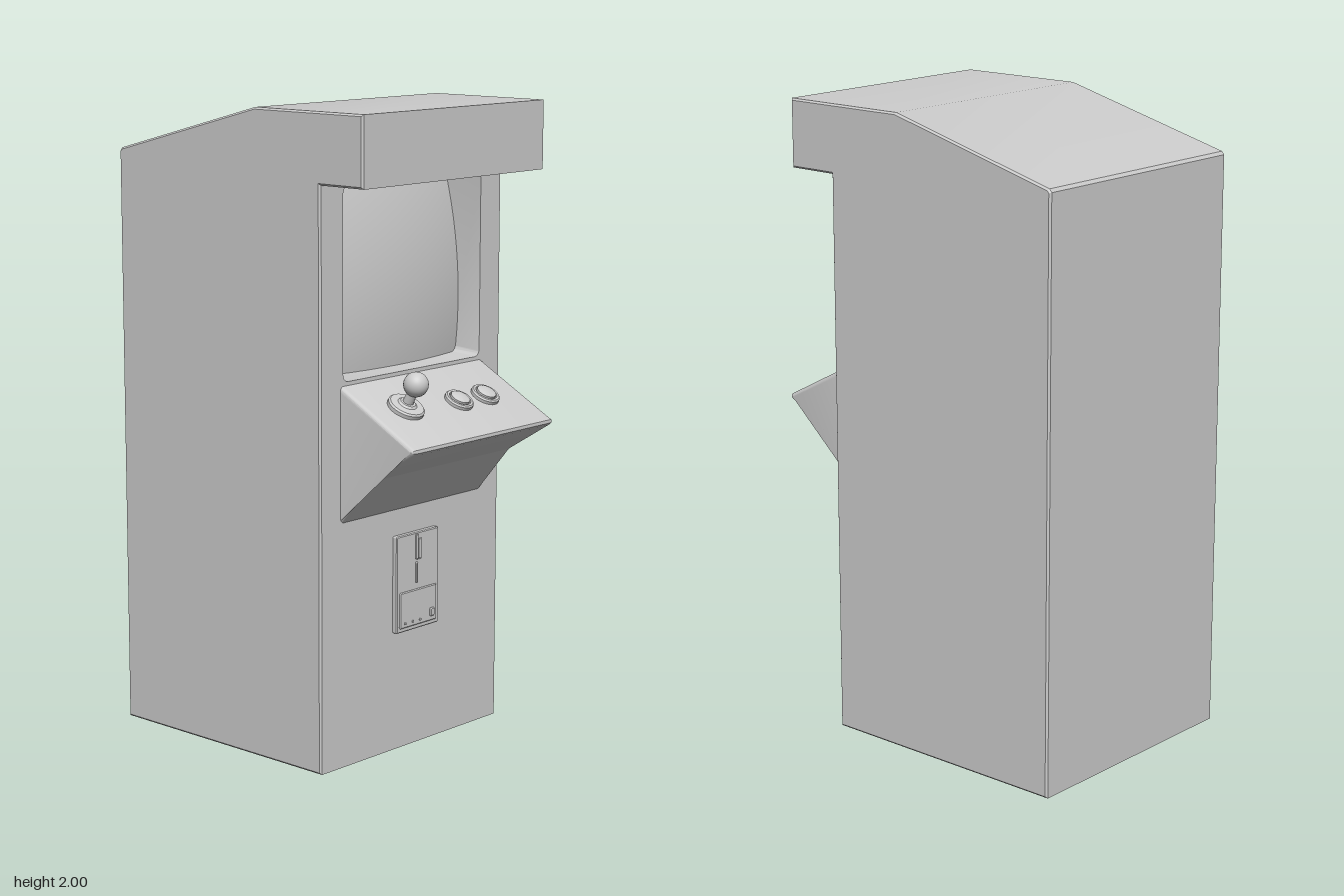
import * as THREE from 'three';
import { mergeGeometries, toCreasedNormals } from 'three/addons/utils/BufferGeometryUtils.js';

const grey = new THREE.MeshStandardMaterial({ color: 0xcccccc });
const greyDouble = new THREE.MeshStandardMaterial({ color: 0xcccccc, side: THREE.DoubleSide });
const FRONT = 0.285;

function add(parent, name, geometry, x = 0, y = 0, z = 0, material = grey) {
  const mesh = new THREE.Mesh(geometry, material);
  mesh.name = name;
  mesh.position.set(x, y, z);
  parent.add(mesh);
  return mesh;
}

// Side profile of [z, y] points, extruded across x with bevelled side edges
function sideExtrude(points, width, bevel, segments) {
  const shape = new THREE.Shape(points.map(([z, y]) => new THREE.Vector2(z, y)));
  const depth = width - 2 * bevel;
  return new THREE.ExtrudeGeometry(shape, {
    depth, bevelSize: bevel, bevelThickness: bevel, bevelOffset: -bevel, bevelSegments: segments,
  }).rotateY(-Math.PI / 2).translate(depth / 2, 0, 0);
}

function roundedRect(x0, y0, x1, y1, r) {
  const s = new THREE.Shape();
  s.absarc(x1 - r, y0 + r, r, -Math.PI / 2, 0);
  s.absarc(x1 - r, y1 - r, r, 0, Math.PI / 2);
  s.absarc(x0 + r, y1 - r, r, Math.PI / 2, Math.PI);
  s.absarc(x0 + r, y0 + r, r, Math.PI, Math.PI * 1.5);
  s.closePath();
  return s;
}

// Flat plate on the front face with a small bevel
function plate(x0, y0, x1, y1, thickness) {
  const b = 0.003;
  return new THREE.ExtrudeGeometry(roundedRect(x0, y0, x1, y1, 0.005), {
    depth: thickness - b, bevelSize: b, bevelThickness: b, bevelOffset: -b, bevelSegments: 1, curveSegments: 3,
  });
}

function lathe(points, segments = 32) {
  const geometry = new THREE.LatheGeometry(points.map(([r, y]) => new THREE.Vector2(r, y)), segments);
  return toCreasedNormals(geometry, 0.6);
}

function createCabinet(hole) {
  const width = 0.828, bevel = 0.006, lip = 1.787;
  const profile = [[FRONT, 0], [FRONT, lip], [0.453, lip], [0.453, 2], [0.02, 2],
    [-0.564, 1.846], [-0.572, 1.836], [-0.572, 0]];
  const body = sideExtrude(profile.reverse(), width, bevel, 1);

  // Leave out the plain front wall, to be replaced by one with a screen opening
  const p = body.getAttribute('position');
  const kept = [];
  for (let i = 0; i < p.count; i += 3) {
    const corners = [i, i + 1, i + 2];
    if (corners.every((k) => Math.abs(p.getZ(k) - FRONT) < 1e-4)) continue;
    for (const k of corners) kept.push(p.getX(k), p.getY(k), p.getZ(k));
  }
  const shell = new THREE.BufferGeometry();
  shell.setAttribute('position', new THREE.Float32BufferAttribute(kept, 3));

  const w = width / 2 - bevel;
  const wall = new THREE.Shape([[-w, 0], [w, 0], [w, lip], [-w, lip]].map((c) => new THREE.Vector2(...c)));
  wall.holes.push(hole);
  const front = new THREE.ShapeGeometry(wall, 8).toNonIndexed().translate(0, 0, FRONT);
  front.deleteAttribute('uv');
  front.deleteAttribute('normal');
  return toCreasedNormals(mergeGeometries([shell, front]), 0.4);
}

// Depth of the screen's plane: it leans back towards the top
const screenZ = (y) => FRONT - 0.09 - (y - 1.195) * 0.08;

// Recess walls, tapering from the opening down to the screen
function createRecess(hole) {
  const outer = hole.getPoints(8);
  const cy = 1.487;
  const position = [], index = [];
  outer.forEach((q, i) => {
    const x = q.x * 0.975, y = cy + (q.y - cy) * 0.975;
    position.push(q.x, q.y, FRONT, x, y, screenZ(y) - 0.02);
    const a = 2 * i, b = 2 * ((i + 1) % outer.length);
    index.push(a, a + 1, b, b, a + 1, b + 1);
  });
  const geometry = new THREE.BufferGeometry();
  geometry.setAttribute('position', new THREE.Float32BufferAttribute(position, 3));
  geometry.setIndex(index);
  return toCreasedNormals(geometry, 0.5);
}

// Bulging picture tube face
function createScreen() {
  const w = 0.622, h = 0.58, cy = 1.487;
  const geometry = new THREE.PlaneGeometry(w, h, 24, 24);
  const p = geometry.getAttribute('position');
  for (let i = 0; i < p.count; i++) {
    const u = p.getX(i) / (w / 2), v = p.getY(i) / (h / 2), y = cy + p.getY(i);
    p.setXYZ(i, p.getX(i), y, screenZ(y) + 0.055 - 0.03 * (u * u + v * v));
  }
  geometry.computeVertexNormals();
  return geometry;
}

function createControls() {
  const controls = new THREE.Group();
  controls.name = 'controls';
  // Local y is the normal of the sloping panel
  const slope = Math.atan2(0.153, 0.288);
  controls.position.set(0, 1.11, 0.425);
  controls.rotation.x = slope;

  const joystick = new THREE.Group();
  joystick.name = 'joystick';
  joystick.position.set(-0.182, 0, -0.012);
  add(joystick, 'joystickBase', lathe([[0.058, -0.01], [0.058, 0.011], [0.053, 0.016], [0.03, 0.018], [0.024, 0.024], [0, 0.024]]));
  add(joystick, 'joystickShaft', new THREE.CylinderGeometry(0.014, 0.017, 0.07, 20), 0, 0.045, 0);
  add(joystick, 'joystickBall', new THREE.SphereGeometry(0.038, 32, 20), 0, 0.088, 0);
  controls.add(joystick);

  for (const x of [0.044, 0.168]) {
    const button = new THREE.Group();
    button.name = 'button';
    button.position.set(x, 0, 0.006);
    add(button, 'buttonRim', lathe([[0.046, -0.01], [0.046, 0.009], [0.042, 0.014], [0.035, 0.014], [0.033, 0.009], [0, 0.009]]));
    add(button, 'buttonCap', lathe([[0.031, 0.008], [0.031, 0.018], [0.024, 0.022], [0, 0.023]]));
    controls.add(button);
  }
  return controls;
}

function createCoinDoor() {
  const door = new THREE.Group();
  door.name = 'coinDoor';
  door.position.z = FRONT;
  add(door, 'coinDoorFrame', plate(-0.09, 0.377, 0.106, 0.685, 0.017));
  add(door, 'coinReturnDoor', plate(-0.078, 0.39, 0.094, 0.505, 0.021));
  // Coin slot surrounds in the upper half
  add(door, 'slotRail', plate(-0.004, 0.6, 0.004, 0.68, 0.022));
  add(door, 'slotRail', plate(0.01, 0.6, 0.017, 0.665, 0.021));
  add(door, 'slotRail', plate(-0.004, 0.525, 0.006, 0.592, 0.022));
  // Lock and a row of bolts
  add(door, 'lock', plate(0.06, 0.405, 0.08, 0.432, 0.026));
  for (const x of [-0.055, -0.02, 0.015]) {
    add(door, 'bolt', new THREE.CylinderGeometry(0.004, 0.004, 0.004, 10).rotateX(Math.PI / 2), x, 0.405, 0.022);
  }
  return door;
}

export function createModel() {
  const model = new THREE.Group();
  model.name = 'arcadeCabinet';
  const hole = roundedRect(-0.314, 1.196, 0.314, 1.778, 0.022);

  add(model, 'cabinet', createCabinet(hole));
  add(model, 'screenRecess', createRecess(hole), 0, 0, 0, greyDouble);
  add(model, 'screen', createScreen());

  // Sloping shelf with a bent underside, set slightly into the cabinet
  const shelf = [[0.27, 0.75], [FRONT, 0.768], [0.408, 0.915], [0.567, 1.014], [0.574, 1.021], [0.573, 1.031], [FRONT, 1.184], [0.27, 1.186]];
  add(model, 'controlPanel', toCreasedNormals(sideExtrude(shelf, 0.654, 0.014, 6), 0.27));

  model.add(createControls(), createCoinDoor());
  return model;
}
